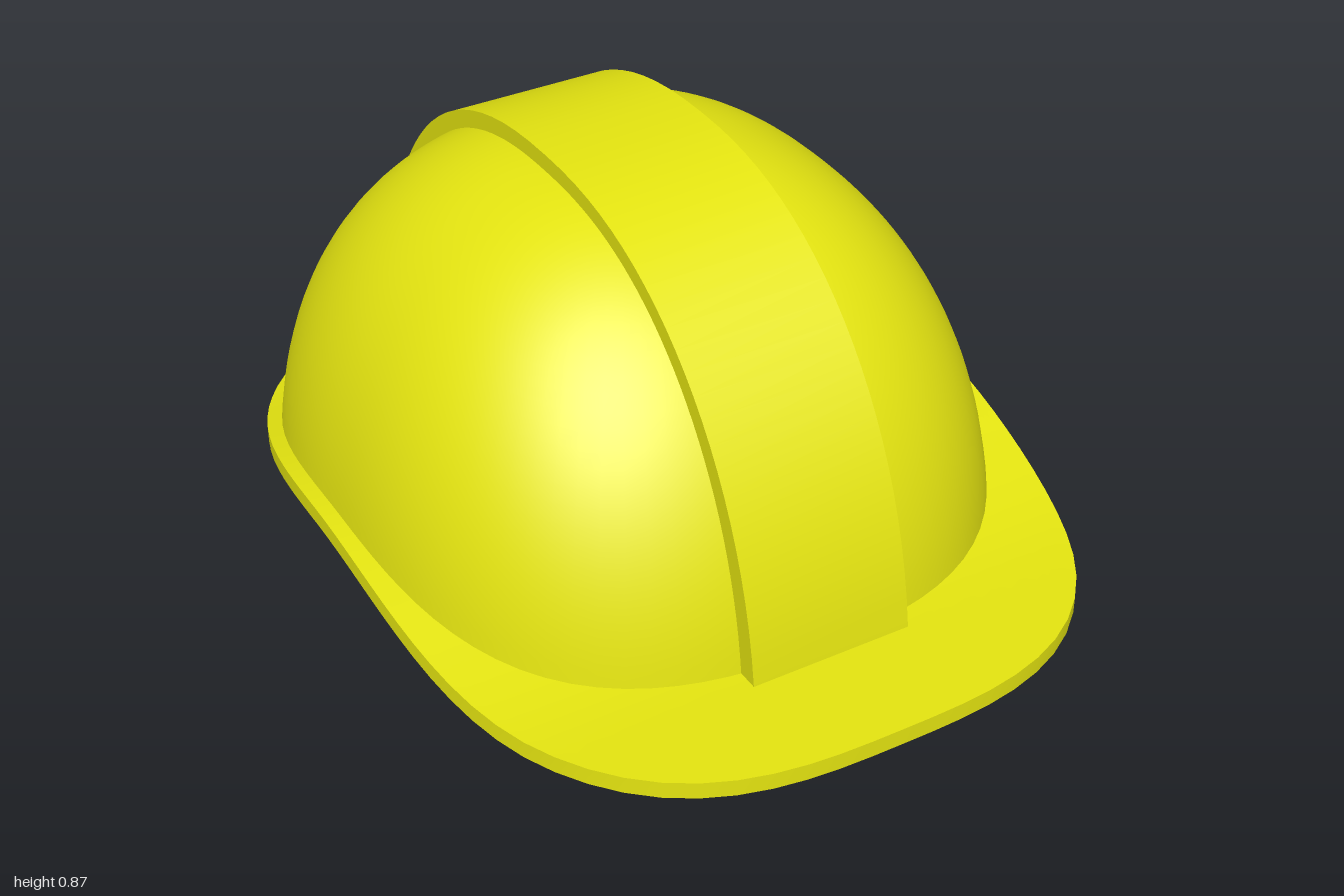
import * as THREE from 'three';
import { toCreasedNormals } from 'three/addons/utils/BufferGeometryUtils.js';

const CZ = -0.13; // z of the dome axis
const SEG = 96;

// Egg-shaped plan outline: distance from the axis in direction a
function planRadius(a, o) {
  const c = Math.abs(Math.cos(a)), s = Math.sin(a);
  const n = s > 0 ? o.nFront : o.nBack;
  const len = s > 0 ? o.front : o.back;
  return Math.pow(Math.pow(c / o.side, n) + Math.pow(Math.abs(s) / len, n), -1 / n);
}

// Underside height of the brim: flat at front and back, arched at the sides
function arch(z) {
  const d = Math.min(1, Math.abs(z + 0.14) / 0.84);
  return 0.0575 * (1 + Math.cos(Math.PI * d));
}

const outer = { side: 0.757, front: 0.835, back: 0.835, nFront: 2.5, nBack: 2.38, h: 0.85 };
const inner = { side: 0.7, front: 0.768, back: 0.755, nFront: 2.3, nBack: 2.3, h: 0.79 };
const rim = { side: 0.78, front: 1.13, back: 0.87, nFront: 3, nBack: 2.38 };

// Roundness p and inward lean of the dome wall in direction a
function wallShape(a) {
  const c2 = Math.cos(a) ** 2, s2 = 1 - c2, front = Math.sin(a) > 0;
  return {
    p: 2.4 * c2 + (front ? 2.3 : 2.35) * s2,
    lean: 0.06 * c2 + (front ? 0.12 : 0.08) * s2,
  };
}

// Wall outline from height y0 (t = 0) to the crown (t = 1): [radius, y]
function wallPoint(a, R, h, y0, t) {
  const { p, lean } = wallShape(a);
  const phi0 = Math.asin(Math.pow(y0 / h, p / 2));
  const phi = phi0 + (Math.PI / 2 - phi0) * t;
  const u = Math.pow(Math.sin(phi), 2 / p);
  const r = t === 1 ? 0 : R * Math.pow(Math.cos(phi), 2 / p) * (1 - lean * u);
  return [r, h * u];
}

function domePoint(o, a, t, lift) {
  const R = planRadius(a, o);
  const y0 = arch(CZ + R * Math.sin(a)) + lift;
  const [r, y] = wallPoint(a, R, o.h, y0, t);
  return [r * Math.cos(a), y, CZ + r * Math.sin(a)];
}

// Closed ring surface made from rows of points
function ringSurface(rows, point, flip) {
  const pos = [], idx = [];
  for (let j = 0; j <= rows; j++) {
    for (let i = 0; i < SEG; i++) pos.push(...point((i / SEG) * Math.PI * 2, j));
  }
  for (let j = 0; j < rows; j++) {
    for (let i = 0; i < SEG; i++) {
      const k = (i + 1) % SEG;
      const a = j * SEG + i, b = j * SEG + k, c = a + SEG, d = b + SEG;
      if (flip) idx.push(a, b, c, b, d, c);
      else idx.push(a, c, b, b, c, d);
    }
  }
  const g = new THREE.BufferGeometry();
  g.setAttribute('position', new THREE.Float32BufferAttribute(pos, 3));
  g.setIndex(idx);
  g.computeVertexNormals();
  return g;
}

// Brim slab: underside outwards, up the edge, then back over the top
function brimGeometry() {
  const N = 8;
  return toCreasedNormals(ringSurface(2 * N + 1, (a, j) => {
    const top = j > N;
    const t = top ? (2 * N + 1 - j) / N : j / N;
    const start = domePoint(inner, a, 0, 0);
    const R = planRadius(a, rim);
    const r0 = Math.hypot(start[0], start[2] - CZ) + (top ? 0.02 : 0);
    const r = r0 + (R - r0) * t;
    const z = CZ + r * Math.sin(a);
    const y = !top && t === 0 ? start[1] : arch(z) + (top ? 0.04 : 0);
    return [r * Math.cos(a), y, z];
  }, false), 0.7);
}

// Flat-topped band from front to back, extruded across the dome
function ridgeGeometry() {
  const N = 24, halfWidth = 0.193, base = 0.035;
  const half = (sign, len, h) => Array.from({ length: N + 1 }, (_, i) => {
    const [r, y] = wallPoint(sign * Math.PI / 2, len, h, base, i / N);
    return new THREE.Vector2(sign * r, y);
  });
  const arc = (front, back, h) => [...half(1, front, h), ...half(-1, back, h).reverse().slice(1)];
  const shape = new THREE.Shape([...arc(0.873, 0.868, 0.874), ...arc(0.8, 0.8, 0.815).reverse()]);
  const g = new THREE.ExtrudeGeometry(shape, { depth: halfWidth * 2, bevelEnabled: false });
  g.translate(0, 0, -halfWidth);
  g.rotateY(-Math.PI / 2);
  g.translate(0, 0, CZ);
  return toCreasedNormals(g, 0.6);
}

export function createModel() {
  const yellow = new THREE.MeshStandardMaterial({ color: 0xe4e410 });
  yellow.name = 'safetyYellow';
  const group = new THREE.Group();
  group.name = 'hardHat';
  const add = (name, geometry) => {
    const mesh = new THREE.Mesh(geometry, yellow);
    mesh.name = name;
    group.add(mesh);
  };
  const rows = 32;
  add('domeOutside', ringSurface(rows, (a, j) => domePoint(outer, a, j / rows, 0.025), false));
  add('domeInside', ringSurface(rows, (a, j) => domePoint(inner, a, j / rows, 0), true));
  add('brim', brimGeometry());
  add('centreRidge', ridgeGeometry());
  return group;
}
